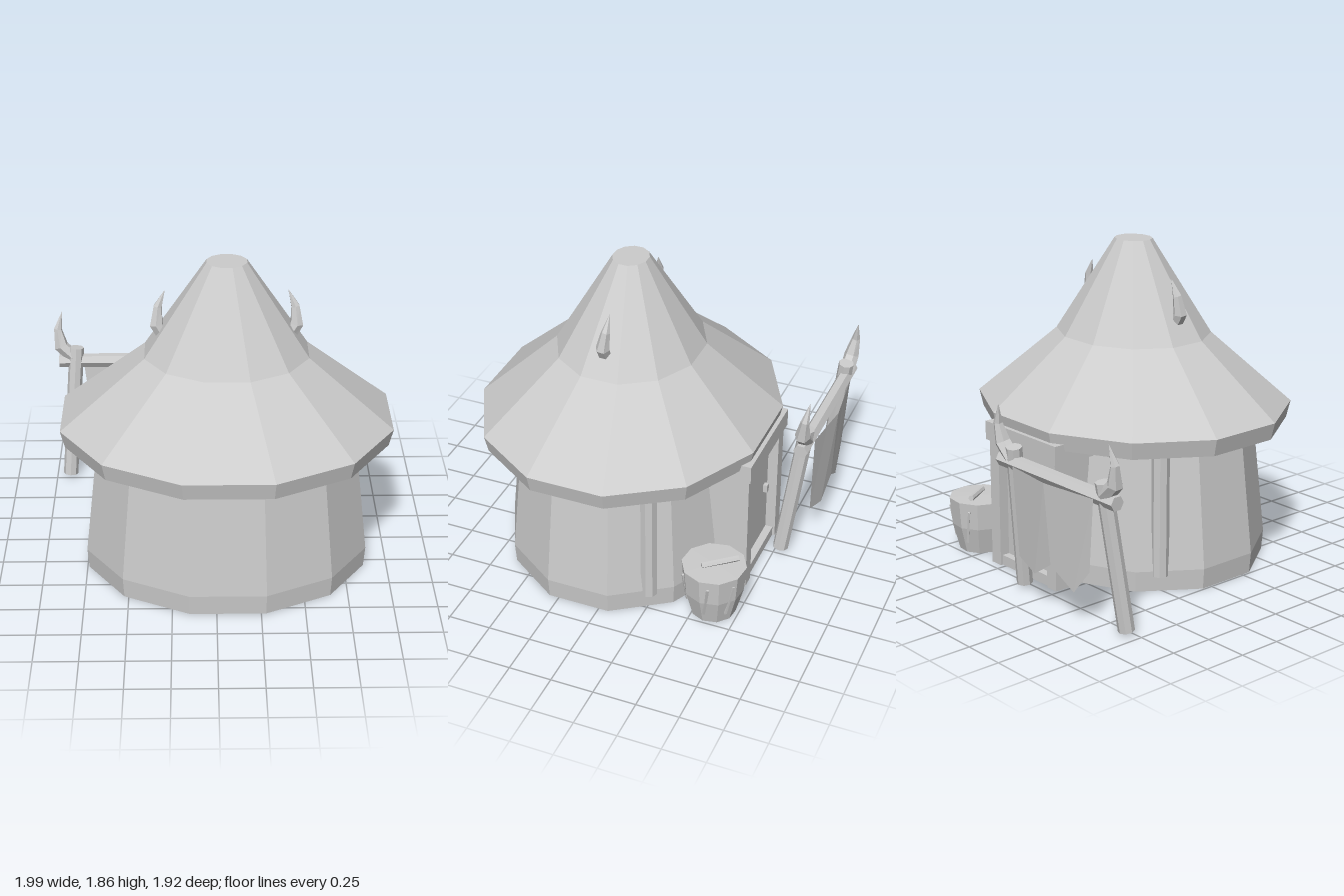
import * as THREE from 'three';

const V = (x, y, z) => new THREE.Vector3(x, y, z);

export function createModel() {
  const model = new THREE.Group();
  const grey = new THREE.MeshStandardMaterial({ color: 0xcccccc, flatShading: true, side: THREE.DoubleSide });
  grey.name = 'plain grey';

  function add(name, geometry, parent = model) {
    const mesh = new THREE.Mesh(geometry, grey);
    mesh.name = name;
    parent.add(mesh);
    return mesh;
  }

  function group(name) {
    const g = new THREE.Group();
    g.name = name;
    model.add(g);
    return g;
  }

  // Faceted turned shape; profile rows are [radius, y]
  function turned(profile, sides, phase) {
    return new THREE.LatheGeometry(profile.map(([r, y]) => new THREE.Vector2(r, y)), sides, phase);
  }

  // Straight pole between two points
  function pole(name, a, b, r, sides, parent) {
    const mesh = add(name, new THREE.CylinderGeometry(r, r, a.distanceTo(b), sides), parent);
    mesh.position.copy(a).add(b).multiplyScalar(0.5);
    mesh.quaternion.setFromUnitVectors(V(0, 1, 0), b.clone().sub(a).normalize());
    return mesh;
  }

  function box(name, x0, x1, y0, y1, z0, z1, parent) {
    const mesh = add(name, new THREE.BoxGeometry(x1 - x0, y1 - y0, z1 - z0), parent);
    mesh.position.set((x0 + x1) / 2, (y0 + y1) / 2, (z0 + z1) / 2);
    return mesh;
  }

  // Curved horn: a tube whose rings are rescaled to the given radii
  function horn(name, points, radii, parent) {
    const curve = new THREE.CatmullRomCurve3(points);
    const segs = radii.length - 1, sides = 6;
    const geo = new THREE.TubeGeometry(curve, segs, 1, sides, false);
    const pos = geo.attributes.position;
    const p = new THREE.Vector3();
    for (let i = 0; i <= segs; i++) {
      const c = curve.getPointAt(i / segs);
      for (let j = 0; j <= sides; j++) {
        const k = i * (sides + 1) + j;
        p.fromBufferAttribute(pos, k).sub(c).multiplyScalar(radii[i]).add(c);
        pos.setXYZ(k, p.x, p.y, p.z);
      }
    }
    return add(name, geo, parent);
  }

  // Hut centre
  const CX = 0.0625, CZ = 0.125;

  // Twelve-sided wall, open underneath
  const wall = add('wall', turned([[0.83, 0], [0.84, 0.12], [0.76, 0.82], [0.752, 0.9]], 12, Math.PI / 12));
  wall.scale.z = 0.848;
  wall.position.set(CX, 0, CZ);

  // Flared roof with a short lip and flat top
  const roof = add('roof', turned([[0.945, 0.82], [0.97, 0.92], [0.476, 1.315], [0.116, 1.855], [0, 1.855]], 12, Math.PI / 12));
  roof.scale.z = 0.89;
  roof.position.set(CX, 0, CZ);

  // Horns and wall poles on both sides of the hut
  for (const s of [-1, 1]) {
    horn('roofHorn', [
      V(CX + s * 0.34, 1.39, 0.13), V(CX + s * 0.39, 1.47, 0.13),
      V(CX + s * 0.385, 1.57, 0.115), V(CX + s * 0.343, 1.675, 0.105),
    ], [0.038, 0.04, 0.026, 0.001]);
    pole('wallPole', V(CX + s * 0.655, 0.09, -0.25), V(CX + s * 0.655, 0.92, -0.25), 0.05, 8);
  }

  // Back doorway
  const door = group('doorway');
  box('lintel', -0.255, 0.375, 0.75, 0.86, -0.72, -0.44, door);
  for (const s of [-1, 1]) {
    const x = CX + s * 0.255;
    box('doorPost', x - 0.04, x + 0.04, 0, 0.76, -0.705, -0.46, door);
  }
  box('doorPanel', -0.16, 0.285, 0.02, 0.76, -0.645, -0.6, door);
  box('threshold', -0.16, 0.285, 0, 0.06, -0.69, -0.5, door);
  box('doorHandle', -0.11, -0.08, 0.36, 0.41, -0.67, -0.64, door);

  // Banner rack: leaning posts, crossbar and end horns
  const rack = group('bannerRack');
  const RX = -0.48, RZ = -0.885;
  pole('crossbar', V(RX - 0.485, 0.77, RZ), V(RX + 0.485, 0.77, RZ), 0.043, 6, rack);
  for (const s of [-1, 1]) {
    pole('rackPost', V(RX + s * 0.435, 0.02, -0.78), V(RX + s * 0.375, 0.86, RZ), 0.046, 8, rack);
    horn('rackHorn', [
      V(RX + s * 0.39, 0.79, RZ), V(RX + s * 0.455, 0.84, RZ),
      V(RX + s * 0.49, 0.95, -0.9), V(RX + s * 0.46, 1.09, -0.92),
    ], [0.045, 0.045, 0.026, 0.001], rack);
  }

  // Folded cloth with a ragged hem; rows are [top x, hem x, top z, hem z, hem y]
  const strips = [
    [-0.14, -0.17, -0.925, -0.91, 0.25],
    [-0.31, -0.33, -0.945, -0.93, 0.2],
    [-0.46, -0.48, -0.965, -0.94, 0.3],
    [-0.64, -0.65, -0.945, -0.92, 0.19],
    [-0.82, -0.77, -0.925, -0.91, 0.34],
  ];
  const verts = [], faces = [];
  strips.forEach(([tx, hx, tz, hz, hy], i) => {
    verts.push(tx, 0.765, tz, hx, hy, hz);
    const a = i * 2;
    if (i < strips.length - 1) faces.push(a, a + 2, a + 1, a + 1, a + 2, a + 3);
  });
  const cloth = new THREE.BufferGeometry();
  cloth.setAttribute('position', new THREE.Float32BufferAttribute(verts, 3));
  cloth.setIndex(faces);
  cloth.computeVertexNormals();
  add('bannerCloth', cloth, rack);

  // Basket with lid stick and side slats
  const basket = group('basket');
  basket.position.set(0.605, 0, -0.6);
  add('basketBody', turned([[0, 0], [0.13, 0], [0.172, 0.16], [0.186, 0.32], [0, 0.325]], 10, 0.2), basket);
  pole('lidStick', V(-0.07, 0.345, -0.12), V(0.055, 0.33, 0.055), 0.017, 6, basket);
  for (const a of [0.5, 1.65, 2.5, 3.6]) {
    const n = V(Math.sin(a), 0, Math.cos(a)), t = V(n.z, 0, -n.x);
    pole('basketSlat', n.clone().multiplyScalar(0.148).addScaledVector(t, -0.015).setY(0.07),
      n.clone().multiplyScalar(0.178).addScaledVector(t, 0.015).setY(0.27), 0.009, 4, basket);
  }

  return model;
}
